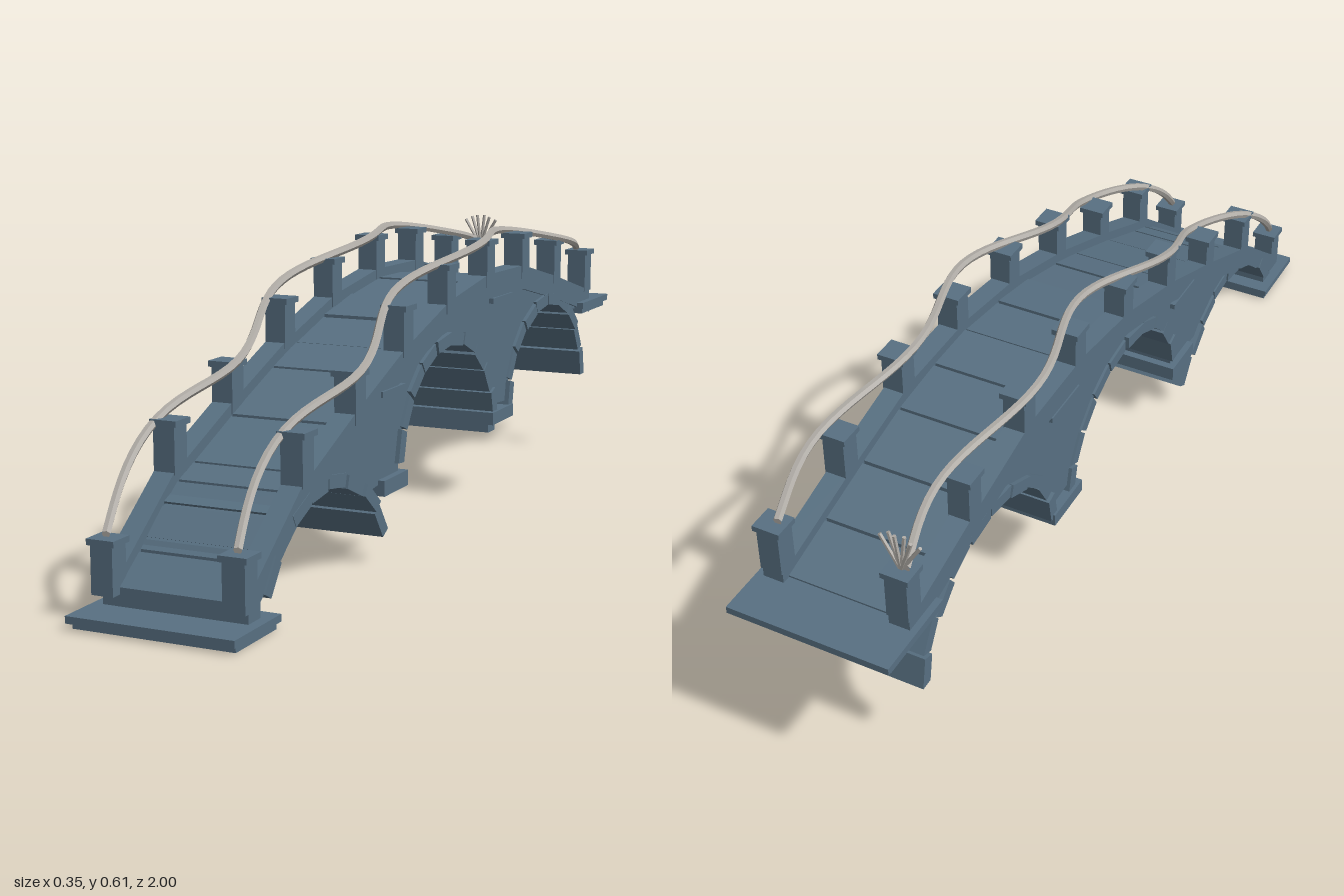
import * as THREE from 'three';

export function createModel() {
  const bridge = new THREE.Group();
  bridge.name = 'bridge';
  const stone = new THREE.MeshStandardMaterial({ color: 0x587082, flatShading: true });
  stone.name = 'slate stone';
  const hemp = new THREE.MeshStandardMaterial({ color: 0xb0aca6, flatShading: true });
  hemp.name = 'pale rope';

  let seed = 7;
  const jitter = (a) => {
    seed = (seed * 16807) % 2147483647;
    return (seed / 2147483647 - 0.5) * 2 * a;
  };
  const add = (name, geo, mat = stone) => {
    const m = new THREE.Mesh(geo, mat);
    m.name = name;
    bridge.add(m);
    return m;
  };
  const box = (name, x0, x1, y0, y1, z0, z1) =>
    add(name, new THREE.BoxGeometry(x1 - x0, y1 - y0, z1 - z0)
      .translate((x0 + x1) / 2, (y0 + y1) / 2, (z0 + z1) / 2));
  // Side profile of [z, y] points, extruded across the bridge from x0 to x1
  const slice = (name, pts, x0, x1) => {
    const shape = new THREE.Shape(pts.map(([z, y]) => new THREE.Vector2(z, y)));
    const geo = new THREE.ExtrudeGeometry(shape, { depth: x1 - x0, bevelEnabled: false });
    return add(name, geo.rotateY(-Math.PI / 2).translate(x1, 0, 0));
  };

  // Parapet top line, front to back
  const line = [[0.93, 0.075], [0.89, 0.1], [0.71, 0.235], [0.67, 0.25], [0.47, 0.335], [0.25, 0.42],
    [0.02, 0.488], [-0.2, 0.52], [-0.42, 0.517], [-0.64, 0.468], [-0.9, 0.402]];
  const topAt = (z) => {
    let i = 1;
    while (i < line.length - 1 && z < line[i][0]) i++;
    const [za, ya] = line[i - 1], [zb, yb] = line[i];
    return ya + (yb - ya) * (za - z) / (za - zb);
  };

  // Arches: centre, spring height, radii, angle range of the stones, clip heights for the walls
  const arches = [
    { c: -0.59, base: 0.19, rz: 0.248, ry: 0.212, a0: 0, a1: 180, back: 0.36, front: 0.2, n: 10 },
    { c: 0.015, base: 0.17, rz: 0.248, ry: 0.222, a0: 4, a1: 176, back: 0.2, front: 0.165, n: 10 },
    { c: 0.6, base: -0.075, rz: 0.275, ry: 0.275, a0: 28, a1: 153, back: 0.15, front: 0.055, n: 8 },
  ];
  const onArch = (a, deg, grow) => {
    const t = deg * Math.PI / 180;
    return [a.c + (a.rz + grow) * Math.cos(t), a.base + (a.ry + grow) * Math.sin(t)];
  };

  // Main body with the arches cut from below
  const body = [[0.9, 0.06]];
  line.slice(1).forEach(([z, y]) => body.push([z, y - 0.035]));
  body.push([-0.9, 0.36]);
  arches.forEach((a) => {
    for (let d = 180; d >= 0; d -= 6) {
      const p = onArch(a, d, 0.012);
      if (p[1] > (d > 90 ? a.back : a.front)) body.push(p);
    }
  });
  slice('spandrelWall', body, -0.15, 0.15);

  // Vault stones running the full width
  arches.forEach((a) => {
    const step = (a.a1 - a.a0) / a.n;
    for (let i = 0; i < a.n; i++) {
      const d0 = a.a0 + i * step + 0.7, d1 = a.a0 + (i + 1) * step - 0.7;
      const g = jitter(0.003), w = 0.157 + jitter(0.004);
      slice('archStone', [onArch(a, d0, g), onArch(a, d0, 0.027 + g),
        onArch(a, d1, 0.027 + g), onArch(a, d1, g)], -w, w);
    }
  });

  // Pier footings and ledges
  box('pierFooting', -0.165, 0.165, 0.14, 0.172, 0.258, 0.372);
  box('pierFooting', -0.165, 0.165, 0.177, 0.205, -0.338, -0.212);
  box('pierFoot', -0.15, 0.15, 0.157, 0.18, -0.262, -0.222);
  for (const s of [-1, 1]) {
    for (const [z0, z1, y] of [[0.26, 0.37, 0.345], [-0.34, -0.22, 0.458]]) {
      box('ledgeStone', s * 0.153 - 0.008, s * 0.153 + 0.008, y - 0.006, y + 0.006, z0, z1);
    }
  }

  // Landing plates at both ends
  box('frontLandingLower', -0.166, 0.166, 0, 0.013, 0.835, 0.985);
  box('frontLandingUpper', -0.172, 0.172, 0.013, 0.027, 0.828, 1);
  box('frontFootBlock', -0.15, 0.15, 0.025, 0.062, 0.865, 0.91);
  box('backLandingLower', -0.166, 0.166, 0.353, 0.366, -0.985, -0.815);
  box('backLandingUpper', -0.172, 0.172, 0.366, 0.381, -1, -0.805);

  // Paving slabs
  const joints = [0.915, 0.84, 0.765, 0.7, 0.64, 0.49, 0.315, 0.21, 0.08, -0.06, -0.2, -0.33, -0.47, -0.61, -0.75, -0.885];
  for (let i = 0; i < joints.length - 1; i++) {
    const a = joints[i] - 0.003, b = joints[i + 1] + 0.003, h = -0.022 + jitter(0.003);
    const ya = topAt(a) + h, yb = topAt(b) + h;
    slice('pavingSlab', [[a, ya], [b, yb], [b, yb - 0.02], [a, ya - 0.02]], -0.113, 0.113);
  }

  // Parapets, posts with caps, and ropes
  const posts = [[0.912, 0.155], [0.69, 0.333], [0.466, 0.41], [0.24, 0.508], [0.016, 0.567],
    [-0.21, 0.597], [-0.43, 0.592], [-0.65, 0.555], [-0.88, 0.508]];
  for (const s of [-1, 1]) {
    const c = s * 0.135;
    for (let i = 0; i < line.length - 1; i++) {
      const [za, ya] = line[i], [zb, yb] = line[i + 1];
      slice('parapet', [[za, ya], [zb, yb], [zb, Math.max(yb - 0.055, 0.05)],
        [za, Math.max(ya - 0.055, 0.05)]], c - 0.023, c + 0.021);
    }
    for (const [z, y] of posts) {
      box('post', c - 0.023, c + 0.023, y - 0.105, y - 0.008, z - 0.023, z + 0.023);
      box('postCap', c - 0.029, c + 0.029, y - 0.012, y, z - 0.027, z + 0.027);
    }

    // Rope weaving from side to side over the post tops
    const heights = new THREE.CatmullRomCurve3(posts.map(([z, y]) => new THREE.Vector3(0, y + 0.005, z)));
    const path = heights.getPoints(40).map((p) =>
      p.setX(c + 0.029 * Math.cos(2 * Math.PI * (p.z - 0.48) / 0.59)));
    add('rope', new THREE.TubeGeometry(new THREE.CatmullRomCurve3(path), 64, 0.009, 6), hemp);
    for (const [i, turn] of [[0, 0], [path.length - 1, Math.PI]]) {
      const end = add('ropeEnd', new THREE.CircleGeometry(0.009, 6).rotateY(turn), hemp);
      end.position.copy(path[i]);
    }
  }

  // Frayed strands at the back of the right rope
  for (let i = 0; i < 6; i++) {
    const strand = add('frayedStrand', new THREE.CylinderGeometry(0.004, 0.004, 0.08, 5).translate(0, 0.04, 0), hemp);
    strand.position.set(-0.135, 0.505, -0.88);
    strand.rotation.set(jitter(0.1), 0, (i - 2.5) * 0.22);
  }
  return bridge;
}
